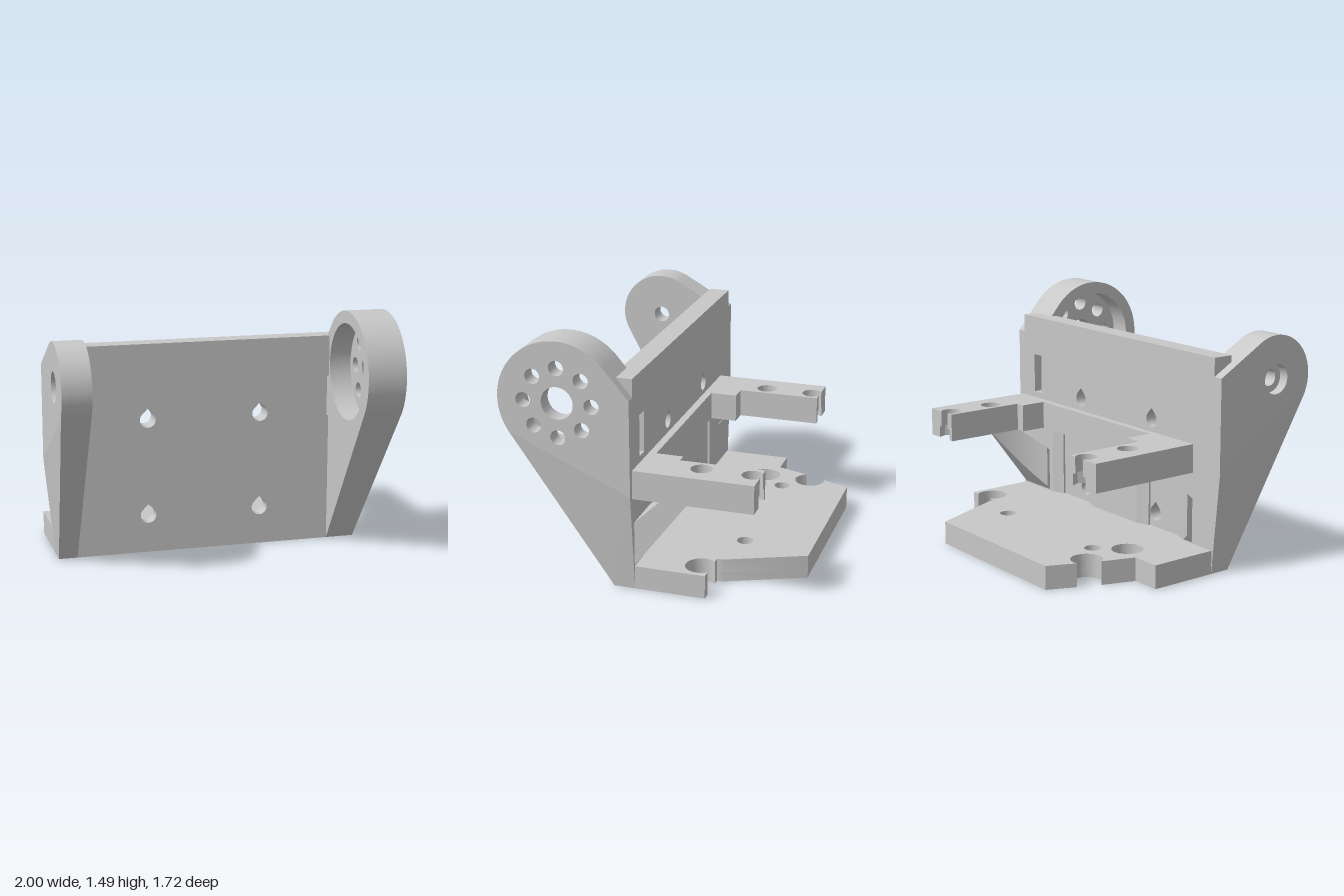
import * as THREE from 'three';
import { toCreasedNormals } from 'three/addons/utils/BufferGeometryUtils.js';
import { ConvexGeometry } from 'three/addons/geometries/ConvexGeometry.js';

const V = (x, y) => new THREE.Vector2(x, y);
const BACK = 0.065, FRONT = 0.193; // z of the wall faces
const SCREWS = [[-0.47, -0.45], [0.41, -0.45]]; // x, z of the base screws
const SWEEP = 0.56; // radius of the round clearance about each screw

function circleHole(x, y, r) {
  return new THREE.Path().absarc(x, y, r, 0, Math.PI * 2, true);
}

function hexHole(x, y, r) {
  const pts = [];
  for (let i = 0; i < 6; i++) pts.push(V(x + r * Math.cos(i * Math.PI / 3), y + r * Math.sin(i * Math.PI / 3)));
  return new THREE.Path(pts);
}

function extrude(shape, depth) {
  return new THREE.ExtrudeGeometry(shape, { depth, bevelEnabled: false, curveSegments: 28 });
}

// points along an arc, both ends included
function arcPoints(cx, cy, r, a0, a1, n = 20) {
  const pts = [];
  for (let i = 0; i <= n; i++) {
    const a = a0 + (a1 - a0) * i / n;
    pts.push(V(cx + r * Math.cos(a), cy + r * Math.sin(a)));
  }
  return pts;
}

// strut whose inner side is hollowed by the round clearance
function strutGeometry([cx, cz], x0, x1) {
  const n = 12, pos = [], index = [];
  const low = z => Math.min(0.58, 0.15 + (BACK - z) * 1.323);
  const high = z => Math.min(0.58, 0.42 + (BACK - z) * 0.97);
  for (let i = 0; i <= n; i++) {
    const x = x0 + (x1 - x0) * i / n;
    const z = Math.max(-0.259, cz + Math.sqrt(SWEEP ** 2 - (x - cx) ** 2)), m = Math.max(z, -0.1);
    pos.push(x, low(BACK), BACK, x, low(z), z, x, high(z), z, x, high(m), m, x, high(BACK), BACK);
    for (let j = 0; j < 5 && i < n; j++) {
      const a = i * 5 + j, b = i * 5 + (j + 1) % 5;
      index.push(a, b, b + 5, a, b + 5, a + 5);
    }
  }
  for (let j = 1; j < 4; j++) index.push(0, j + 1, j, n * 5, n * 5 + j, n * 5 + j + 1);
  const g = new THREE.BufferGeometry();
  g.setAttribute('position', new THREE.Float32BufferAttribute(pos, 3));
  g.setIndex(index);
  return g;
}

export function createModel() {
  const model = new THREE.Group();
  model.name = 'hingeBracket';
  const grey = new THREE.MeshStandardMaterial({ color: 0xc8c8c8 });
  grey.name = 'grey';

  function add(name, geometry) {
    const mesh = new THREE.Mesh(toCreasedNormals(geometry, 0.5), grey);
    mesh.name = name;
    model.add(mesh);
  }
  // horizontal slab from an (x, z) outline
  function slab(name, pts, holes, y0, y1) {
    const shape = new THREE.Shape(pts);
    shape.holes.push(...holes);
    add(name, extrude(shape, y1 - y0).rotateX(Math.PI / 2).translate(0, y1, 0));
  }
  // side slab from a (-z, y) outline
  function sideSlab(name, shape, holes, x0, x1) {
    shape.holes.push(...holes);
    add(name, extrude(shape, x1 - x0).rotateY(Math.PI / 2).translate(x0, 0, 0));
  }

  // upright wall: teardrop holes, a cable slot, two shallow round hollows behind
  const POCKET = 0.105, half = 0.22;
  const rect = (x0, x1, y0, y1) => [V(x0, y0), V(x1, y0), V(x1, y1), V(x0, y1)];
  function wallLayer(name, z0, z1, teardropRows, openings) {
    const shape = new THREE.Shape(rect(-0.94, 0.94, 0, 1.291));
    for (const x of [-0.383, 0.322]) for (const y of teardropRows) {
      shape.holes.push(new THREE.Path([...arcPoints(x, y, 0.049, Math.PI * 0.75, Math.PI * 2.25), V(x, y + 0.069)]));
    }
    for (const r of [[0.753, 0.83, 0.79, 1.04], ...openings]) shape.holes.push(new THREE.Path(rect(...r)));
    add(name, extrude(shape, z1 - z0).translate(0, 0, z0));
  }
  wallLayer('wallFront', POCKET, FRONT, [0.233, 0.828], []);
  wallLayer('wallBack', BACK, POCKET, [0.828], SCREWS.map(([x]) => [x - half, x + half, 0.143, 0.58]));
  for (const [cx, cz] of SCREWS) for (const s of [-1, 1]) {
    const a = Math.acos(half / SWEEP), b = Math.acos(0.14 / SWEEP);
    const arc = arcPoints(0, 0, SWEEP, a, b, 6).map(p => V(cx + s * p.x, cz + p.y));
    slab('hollowCheek', [...arc, V(cx + s * 0.14, POCKET), V(cx + s * half, POCKET)], [], 0.143, 0.58);
  }

  // hinge arms: rounded head on top, tapering wedge below
  const C = V(-0.495, 1.121), B = V(-BACK, 1.18), Q = V(-BACK, 0.6);
  const tangent = (p, r, sign) => {
    const d = p.clone().sub(C);
    return d.angle() + sign * Math.acos(r / d.length());
  };
  const onCircle = (a, r) => V(C.x + r * Math.cos(a), C.y + r * Math.sin(a));
  const atU = (p, q, u) => p.clone().lerp(q, (u - p.x) / (q.x - p.x));
  function armHead(r, u) {
    const a1 = tangent(V(-FRONT, 0), r, -1), a2 = tangent(B, r, 1) % (Math.PI * 2);
    const t1 = onCircle(a1, r), t2 = onCircle(a2, r);
    return new THREE.Shape([...arcPoints(C.x, C.y, r, a1, a2, 48), atU(t2, B, u), atU(t1, Q, u)].reverse());
  }
  function armWedge(name, r, xi, xo) {
    const t1 = onCircle(tangent(V(-FRONT, 0), r, -1), r);
    const pts = [];
    for (const x of [xi, xo]) {
      const foot = x === xo ? Math.sign(x) * 0.94 : x;
      for (const p of [t1, Q]) pts.push(new THREE.Vector3(x, p.y, -p.x));
      for (const z of [FRONT, BACK]) pts.push(new THREE.Vector3(foot, 0, z));
    }
    add(name, new ConvexGeometry(pts));
  }

  // left arm: round pocket inside, ring of eight holes through its floor
  const ring = [circleHole(C.x, C.y, 0.097)];
  for (let i = 0; i < 8; i++) {
    const p = onCircle(i * Math.PI / 4, 0.207);
    ring.push(circleHole(p.x, p.y, 0.045));
  }
  sideSlab('leftArmFace', armHead(0.365, -BACK), ring, 0.9, 1);
  sideSlab('leftArmRim', armHead(0.365, -0.155), [circleHole(C.x, C.y, 0.29)], 0.765, 0.9);
  armWedge('leftArmFoot', 0.365, 0.765, 1);

  // right arm: pivot hole, counterbored outside
  sideSlab('rightArmInner', armHead(0.262, -BACK), [circleHole(C.x, C.y, 0.05)], -0.94, -0.826);
  sideSlab('rightArmOuter', armHead(0.262, -BACK), [circleHole(C.x, C.y, 0.09)], -1, -0.94);
  armWedge('rightArmFoot', 0.262, -0.826, -1);

  // base with screw clearances and nut pockets underneath
  const notchR = Math.atan2(0.06, 0.0736);
  const base = [
    V(-0.94, BACK), V(-0.94, -0.36), V(-0.762, -0.36),
    ...arcPoints(-0.61, -0.6, 0.095, 2.683, -1.862),
    V(-0.565, -0.86), V(0.5, -0.86), V(0.7, -0.4), V(0.7, -0.36),
    ...arcPoints(0.815, -0.3, 0.095, Math.PI + notchR, -notchR),
    V(0.94, -0.36), V(0.94, BACK),
  ];
  const clearance = () => circleHole(-0.61, -0.3, 0.095);
  slab('baseLower', base, [clearance(), ...SCREWS.map(([x, z]) => hexHole(x, z, 0.09))], 0, 0.06);
  slab('baseUpper', base, [clearance(), ...SCREWS.map(([x, z]) => circleHole(x, z, 0.05))], 0.06, 0.143);

  // forked shelf, its end holes breaking through the tips
  const END = -0.652, holeX = [-0.61, 0.815];
  const roundNotch = x => {
    const a = Math.asin((-0.6 - END) / 0.063);
    return arcPoints(x, -0.6, 0.063, Math.PI + a, -a);
  };
  const hexNotch = x => [[-0.058, END + 0.6], [-0.082, 0], [-0.041, 0.071], [0.041, 0.071], [0.082, 0], [0.058, END + 0.6]]
    .map(([dx, dz]) => V(x + dx, -0.6 + dz));
  const shelf = notch => [
    V(-0.765, BACK), V(-0.765, END), ...notch(holeX[0]), V(-0.525, END), V(-0.525, -0.145),
    V(-0.415, -0.145), V(-0.415, 0.02), V(0.67, 0.02), V(0.67, -0.145), V(0.73, -0.145),
    V(0.73, END), ...notch(holeX[1]), V(0.965, END), V(0.965, BACK),
  ];
  slab('shelfLower', shelf(hexNotch), holeX.map(x => hexHole(x, -0.3, 0.08)), 0.578, 0.65);
  slab('shelfUpper', shelf(roundNotch), holeX.map(x => circleHole(x, -0.3, 0.063)), 0.65, 0.751);

  // hollowed struts under the shelf
  add('leftStrut', strutGeometry(SCREWS[1], 0.67, 0.94));
  add('rightStrut', strutGeometry(SCREWS[0], -0.765, -0.69));
  return model;
}
